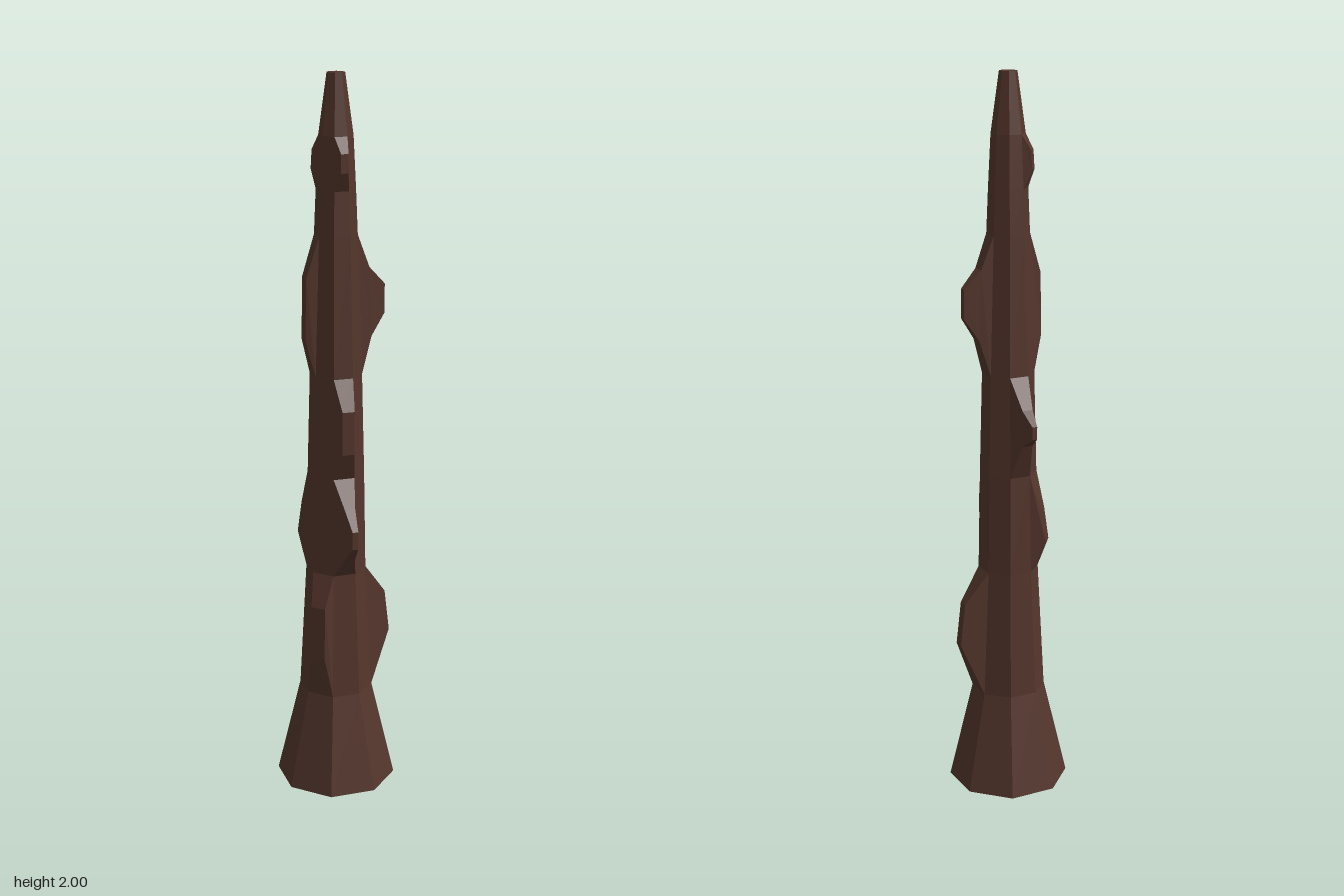
import * as THREE from 'three';

const SIDES = 8;
const STEP = (Math.PI * 2) / SIDES;
const bark = new THREE.MeshStandardMaterial({ color: 0x54362c, flatShading: true });

// Trunk rings: [height, radius]
const rings = [
  [0, 0.168], [0.28, 0.102], [0.64, 0.083], [0.92, 0.078], [1.2, 0.071],
  [1.58, 0.058], [1.7, 0.053], [1.84, 0.046], [2, 0.024],
];

// Knots grow out of one trunk panel: side, segment, then stages of
// [lower y, lower reach, upper y, upper reach, half width]
const knots = [
  { side: 7, seg: 1, stages: [[0.43, 0.155, 0.55, 0.141, 0.014]] },
  { side: 7, seg: 4, stages: [[1.3, 0.095, 1.49, 0.088, 0.018], [1.36, 0.135, 1.44, 0.135, 0.009]] },
  { side: 1, seg: 2, stages: [[0.7, 0.122, 0.85, 0.122, 0.015], [0.75, 0.17, 0.8, 0.17, 0.008]] },
  { side: 1, seg: 3, stages: [[1.0, 0.11, 1.12, 0.11, 0.017]] },
  { side: 1, seg: 6, stages: [[1.75, 0.074, 1.8, 0.074, 0.01]] },
  { side: 2, seg: 1, stages: [[0.4, 0.111, 0.55, 0.108, 0.021]] },
  { side: 3, seg: 4, stages: [[1.3, 0.091, 1.47, 0.088, 0.018]] },
  { side: 4, seg: 2, stages: [[0.73, 0.113, 0.82, 0.1, 0.014]] },
  { side: 4, seg: 6, stages: [[1.75, 0.069, 1.8, 0.066, 0.01]] },
  { side: 5, seg: 3, stages: [[1.02, 0.115, 1.12, 0.115, 0.015], [1.05, 0.157, 1.085, 0.157, 0.007]] },
];

const ringPoint = (level, side) => {
  const [y, r] = rings[level];
  return [r * Math.cos(side * STEP), y, r * Math.sin(side * STEP)];
};

// Four corners of a trunk panel, counter-clockwise seen from outside
const panel = (side, seg) => [
  ringPoint(seg, side + 1), ringPoint(seg, side),
  ringPoint(seg + 1, side), ringPoint(seg + 1, side + 1),
];

// The same corners for one stage of a knot
function stageCorners(side, [y0, r0, y1, r1, half]) {
  const a = (side + 0.5) * STEP, c = Math.cos(a), s = Math.sin(a);
  const at = (y, r, w) => [c * r - s * w, y, s * r + c * w];
  return [at(y0, r0, half), at(y0, r0, -half), at(y1, r1, -half), at(y1, r1, half)];
}

function meshFrom(name, positions) {
  const geometry = new THREE.BufferGeometry();
  geometry.setAttribute('position', new THREE.Float32BufferAttribute(positions, 3));
  geometry.computeVertexNormals();
  const mesh = new THREE.Mesh(geometry, bark);
  mesh.name = name;
  return mesh;
}

const addQuad = (out, [a, b, c, d]) => out.push(...a, ...b, ...c, ...a, ...c, ...d);

export function createModel() {
  const group = new THREE.Group();
  group.name = 'knottedSpike';

  // Trunk panels, left open where a knot grows
  const trunk = [];
  for (let seg = 0; seg < rings.length - 1; seg++) {
    for (let side = 0; side < SIDES; side++) {
      if (!knots.some((k) => k.side === side && k.seg === seg)) addQuad(trunk, panel(side, seg));
    }
  }
  // End caps
  const last = rings.length - 1;
  for (let side = 0; side < SIDES; side++) {
    trunk.push(0, 0, 0, ...ringPoint(0, side), ...ringPoint(0, side + 1));
    trunk.push(0, 2, 0, ...ringPoint(last, side + 1), ...ringPoint(last, side));
  }
  group.add(meshFrom('trunk', trunk));

  // Knots: bridge each stage to the one before, then close the tip
  knots.forEach(({ side, seg, stages }, n) => {
    const out = [];
    let base = panel(side, seg);
    for (const stage of stages) {
      const tip = stageCorners(side, stage);
      for (let i = 0; i < 4; i++) {
        const j = (i + 1) % 4;
        addQuad(out, [base[i], base[j], tip[j], tip[i]]);
      }
      base = tip;
    }
    addQuad(out, base);
    group.add(meshFrom(`knot${n + 1}`, out));
  });

  return group;
}
